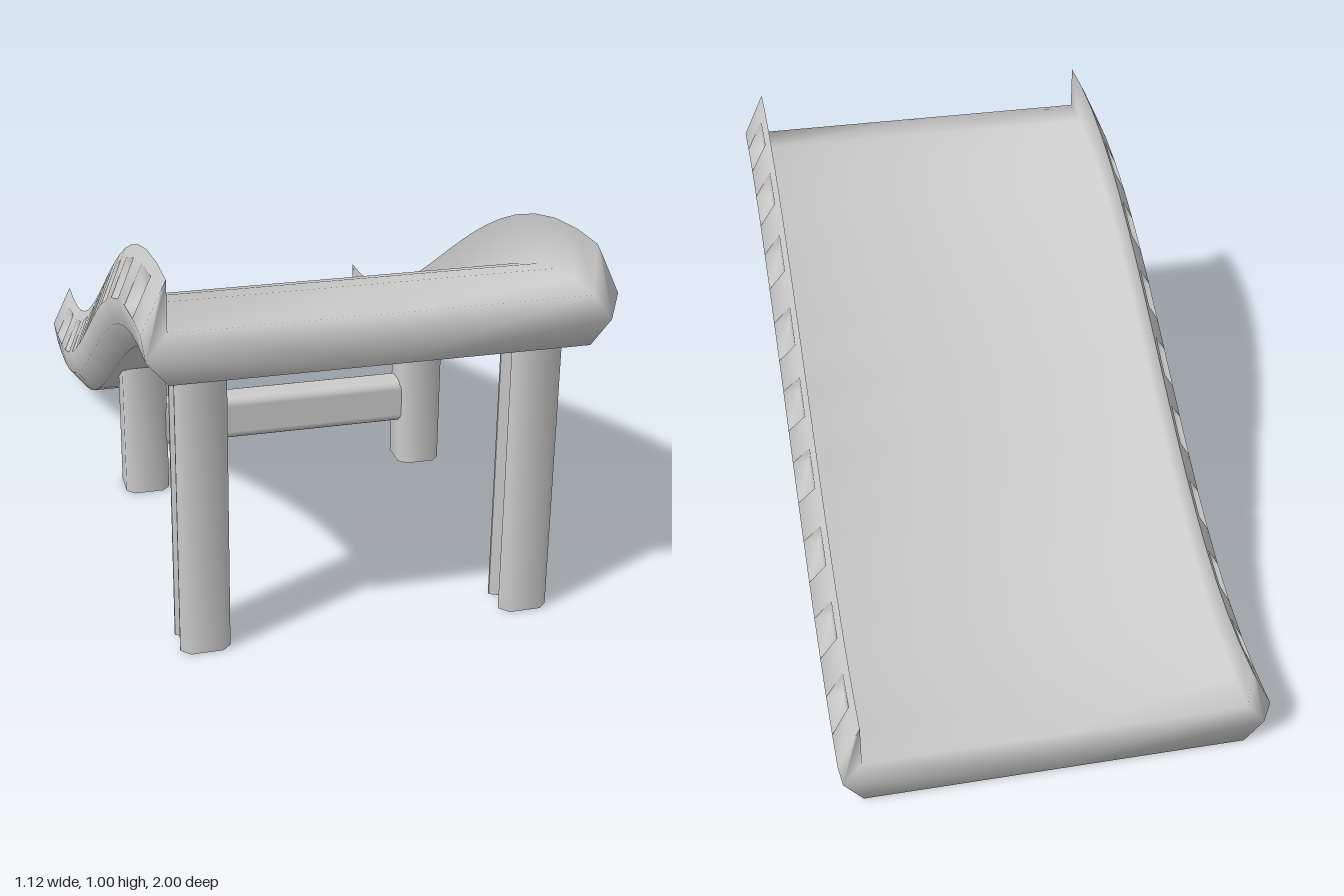
import * as THREE from 'three';
import { toCreasedNormals } from 'three/addons/utils/BufferGeometryUtils.js';
import { RoundedBoxGeometry } from 'three/addons/geometries/RoundedBoxGeometry.js';

const material = new THREE.MeshStandardMaterial({ color: 0xcccccc });

// Half cross-section (x, height fraction): underside, flank, rim, inner wall, bed.
// The rim is doubled to stay sharp.
const half = [[0, 0], [0.5, 0], [0.55, 0.24], [0.56, 0.5], [0.515, 0.88],
  [0.5, 1], [0.5, 1], [0.5, 0.5], [0, 0.5]];
const outline = [...half, ...half.slice(1, -1).map(([x, h]) => [-x, h]).reverse()];
const upperFlank = [3, 12]; // outline edges that the recesses are cut into
const recessCorners = [[0.56, 0.5], [0.515, 0.5], [0.515, 0.88]]; // ridge, floor foot, floor top
const recessCentres = [-0.83, -0.6, -0.39, -0.185, 0, 0.185, 0.39, 0.6, 0.83];

// S-shaped centre line, level at both ends
const phase = (z) => THREE.MathUtils.clamp(z * 1.06, -1, 1) * Math.PI / 2;
const slopeAt = (z) => 0.375 * 1.06 * Math.PI / 2 * Math.cos(phase(z));
const cosAt = (z) => 1 / Math.hypot(1, slopeAt(z));

// Place a cross-section point square to the centre line.
function place(z, x, h) {
  const off = (h - 0.5) * 0.25 * cosAt(z);
  return [x, 0.5 + 0.375 * Math.sin(phase(z)) + off, z - off * slopeAt(z)];
}

function chuteGeometry() {
  const pos = [], index = [];
  const add = (p) => pos.push(...p) / 3 - 1;
  const quad = (a, b, c, d) => index.push(a, b, d, a, d, c);

  // Stations run from the low back end to the high front end, one at each recess edge.
  const stations = [-1];
  for (const z of recessCentres) stations.push(z - 0.06 * cosAt(z), z + 0.06 * cosAt(z));
  stations.push(1);
  const n = outline.length;
  const rings = stations.map((z) => outline.map(([x, h]) => add(place(z, x, h))));

  // Scooped recess with a floor, a ledge and two end walls
  function recess(z0, z1, side) {
    const corners = (z) => recessCorners.map(([x, h]) => add(place(z, side * x, h)));
    const a = corners(z0), b = corners(z1);
    if (side < 0) { a.reverse(); b.reverse(); }
    quad(a[0], a[1], b[0], b[1]);
    quad(a[1], a[2], b[1], b[2]);
    index.push(a[2], a[1], a[0], b[0], b[1], b[2]);
  }

  for (let k = 0; k < stations.length - 1; k++) {
    const cut = k % 2 === 1;
    for (let i = 0; i < n; i++) {
      if (cut && upperFlank.includes(i)) continue;
      const j = (i + 1) % n;
      quad(rings[k][i], rings[k][j], rings[k + 1][i], rings[k + 1][j]);
    }
    if (cut) for (const side of [1, -1]) recess(stations[k], stations[k + 1], side);
  }

  // End caps, mirrored half by half, share the ring corners so the ends shade softly.
  const back = rings[0], front = rings[rings.length - 1];
  const contour = half.map(([x, h]) => new THREE.Vector2(x, h));
  for (const [a, b, c] of THREE.ShapeUtils.triangulateShape(contour, [])) {
    const [p, q, r] = [a, b, c].map((i) => (n - i) % n);
    index.push(front[a], front[b], front[c], front[p], front[r], front[q]);
    index.push(back[a], back[c], back[b], back[p], back[q], back[r]);
  }

  const geometry = new THREE.BufferGeometry();
  geometry.setAttribute('position', new THREE.Float32BufferAttribute(pos, 3));
  geometry.setIndex(index);
  geometry.computeVertexNormals();
  return geometry;
}

// Upright post with chamfered corners and, if asked, a tapering groove in each outer side.
function postGeometry(height, grooved) {
  const r = 0.062, k = 0.04;
  const groove = grooved ? [[r, -0.033], [0.025, -0.013], [0.025, 0.013], [r, 0.033]] : [];
  const side = [[k, -r], [r, -k], ...groove, [r, k], [k, r]];
  const corners = [...side, ...side.map(([x, y]) => [-x, -y])];
  const shape = new THREE.Shape(corners.map(([x, y]) => new THREE.Vector2(x, y)));
  const geometry = new THREE.ExtrudeGeometry(shape, { depth: height, bevelEnabled: false });
  geometry.rotateX(-Math.PI / 2);
  return toCreasedNormals(geometry, 0.9);
}

export function createModel() {
  const group = new THREE.Group();
  function part(name, geometry, x = 0, y = 0, z = 0) {
    const mesh = new THREE.Mesh(geometry, material);
    mesh.name = name;
    mesh.position.set(x, y, z);
    group.add(mesh);
  }

  part('chute', chuteGeometry());

  // Tall legs under the top end, short legs under the middle
  const tall = postGeometry(0.8, true);
  const short = postGeometry(0.4, false);
  for (const [side, x] of [['left', 0.41], ['right', -0.41]]) {
    part(side + 'FrontLeg', tall, x, 0, 0.86);
    part(side + 'MiddleLeg', short, x, 0, 0);
  }

  // Beam joining the short legs
  part('crossBeam', new RoundedBoxGeometry(0.78, 0.13, 0.09, 2, 0.025), 0, 0.195, 0);
  return group;
}
